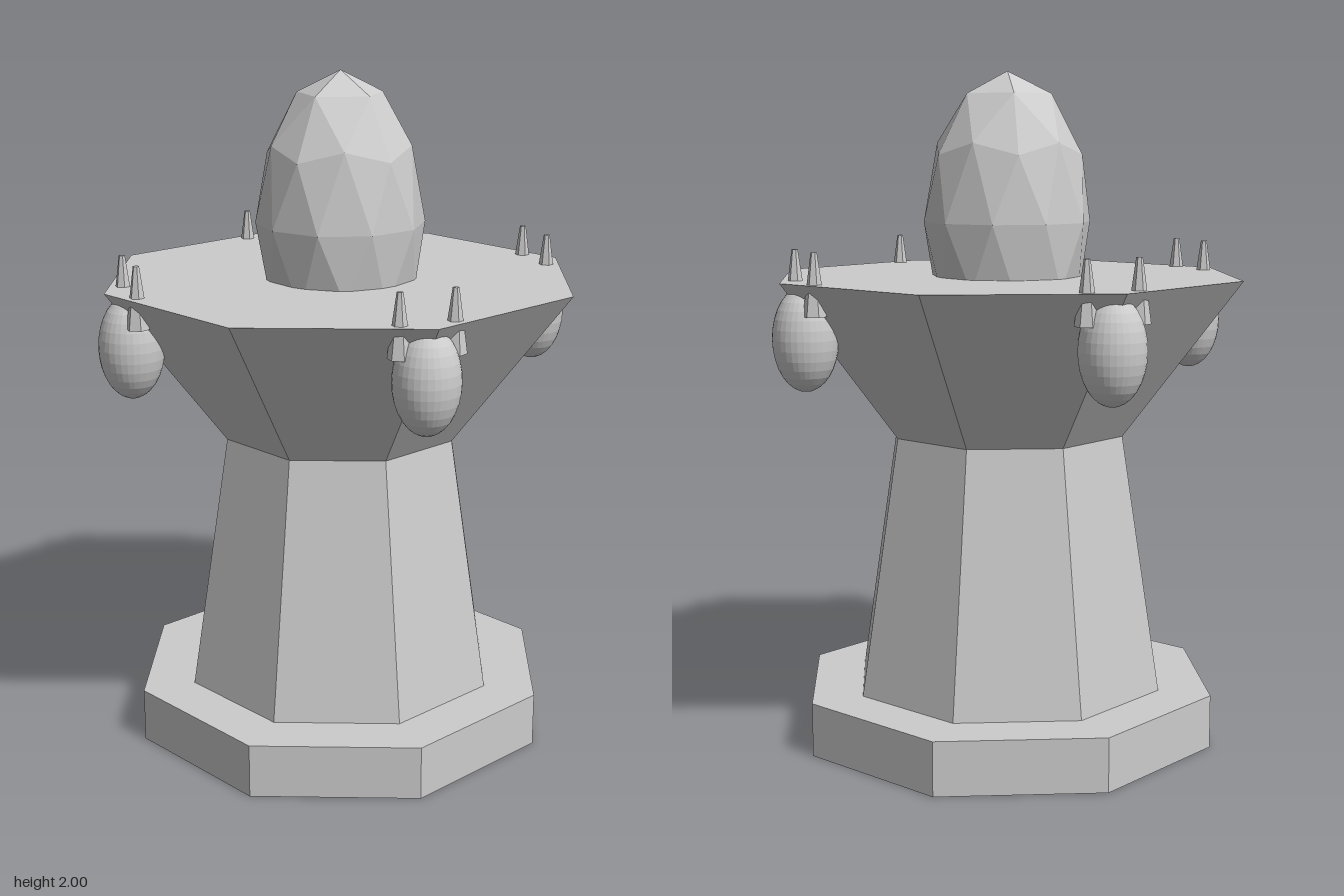
import * as THREE from 'three';

export function createModel() {
  const model = new THREE.Group();
  model.name = 'tower';
  const stone = new THREE.MeshStandardMaterial({ color: 0xcccccc, flatShading: true });
  stone.name = 'stone grey';

  const add = (name, geometry, x, y, z) => {
    const mesh = new THREE.Mesh(geometry, stone);
    mesh.name = name;
    mesh.position.set(x, y, z);
    model.add(mesh);
    return mesh;
  };

  // Eight-sided section standing between two heights, corners on the axes
  const octagon = (name, rBottom, rTop, y0, y1, open) =>
    add(name, new THREE.CylinderGeometry(rTop, rBottom, y1 - y0, 8, 1, open), 0, (y0 + y1) / 2, 0);

  octagon('base', 0.64, 0.64, 0, 0.16, false);
  octagon('column', 0.48, 0.36, 0.16, 0.93, true);
  octagon('flaredTop', 0.36, 0.715, 0.93, 1.4, false);

  // Faceted dome: an icosphere turned so that one corner points up
  const dome = new THREE.IcosahedronGeometry(1, 1);
  dome.rotateZ(-Math.atan(2 / (1 + Math.sqrt(5))));
  dome.scale(0.25, 0.44, 0.25);
  add('dome', dome, 0, 1.56, 0);

  // Hanging pods under the four axis corners, each held by two spikes
  const pod = new THREE.SphereGeometry(0.095, 32, 16);
  pod.scale(1, 1.6, 1);
  const spike = new THREE.CylinderGeometry(0.009, 0.034, 0.18, 6);
  const reach = 0.64;
  for (const [dx, dz] of [[0, 1], [1, 0], [0, -1], [-1, 0]]) {
    add('pod', pod, dx * reach, 1.24, dz * reach);
    for (const side of [-0.08, 0.08]) {
      add('spike', spike, dx * reach + dz * side, 1.4, dz * reach + dx * side);
    }
  }
  return model;
}
